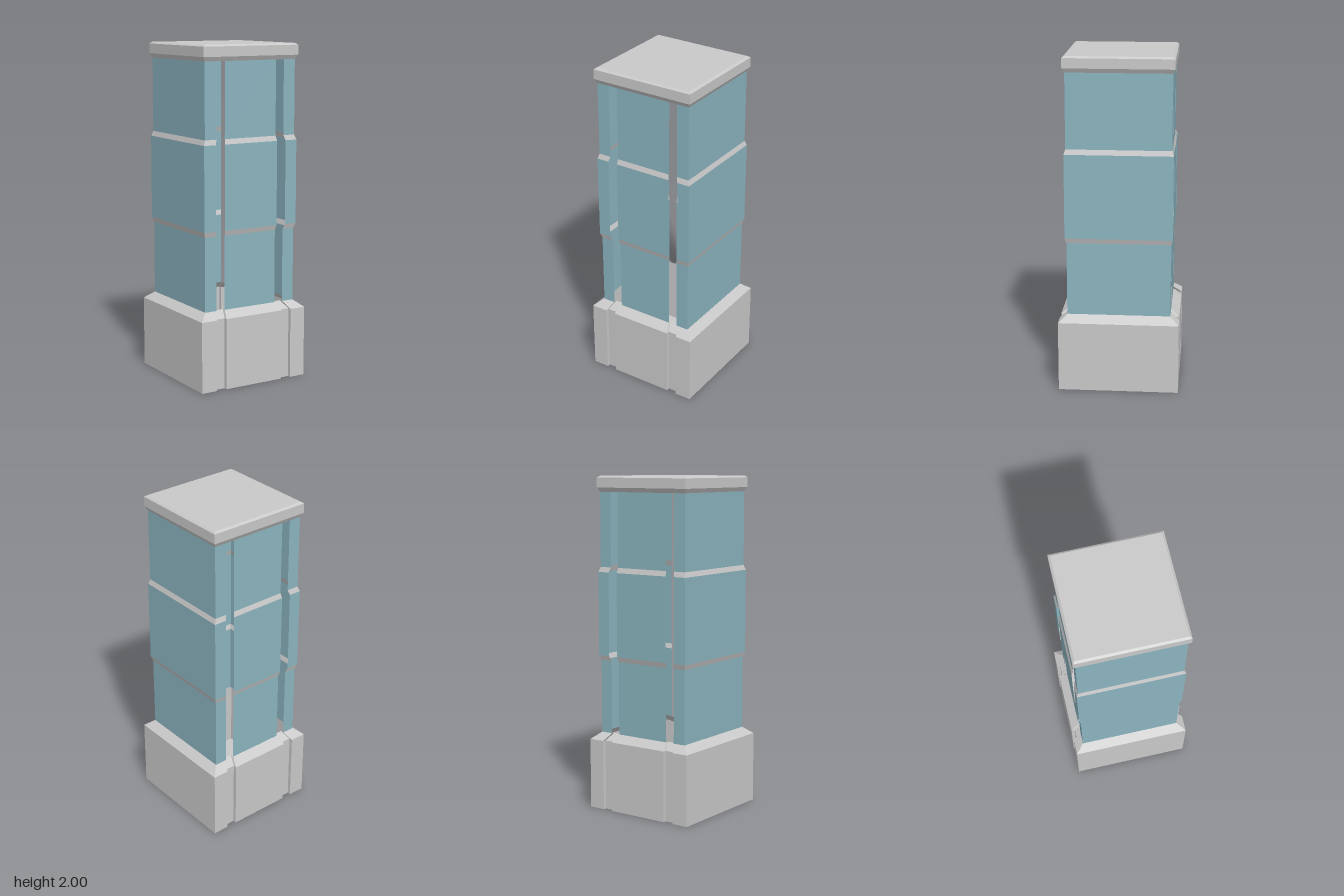
import * as THREE from 'three';

const concrete = new THREE.MeshStandardMaterial({ color: 0xc9c9c9, side: THREE.DoubleSide });
concrete.name = 'grey stone';
const glass = new THREE.MeshStandardMaterial({ color: 0x8bb4bf, side: THREE.DoubleSide });
glass.name = 'blue glass';

// Flat-faced skin between successive levels {y, pts: [[x, z], ...]}
function skin(levels, closed) {
  const pos = [];
  for (let k = 0; k + 1 < levels.length; k++) {
    const lo = levels[k], hi = levels[k + 1], n = lo.pts.length;
    for (let i = 0; i < (closed ? n : n - 1); i++) {
      const j = (i + 1) % n;
      const at = (l, m) => [l.pts[m][0], l.y, l.pts[m][1]];
      const a = at(lo, i), b = at(lo, j), c = at(hi, j), d = at(hi, i);
      pos.push(...a, ...b, ...c, ...a, ...c, ...d);
    }
  }
  const geo = new THREE.BufferGeometry();
  geo.setAttribute('position', new THREE.Float32BufferAttribute(pos, 3));
  geo.computeVertexNormals();
  return geo;
}

// Horizontal lid from an outline, facing up or down
function lid(pts, y, up) {
  const s = up ? -1 : 1;
  const shape = new THREE.Shape(pts.map(([x, z]) => new THREE.Vector2(x, s * z)));
  return new THREE.ShapeGeometry(shape).rotateX(s * Math.PI / 2).translate(0, y, 0);
}

const square = (h) => [[-h, h], [h, h], [h, -h], [-h, -h]];
const turn = (pts) => pts.map(([x, z]) => [-x, -z]);

// Square outline with two shallow grooves front and back
function grooved(h, o, i, r) {
  const front = [[-h, h], [-o, h], [-o, r], [-i, r], [-i, h], [i, h], [i, r], [o, r], [o, h], [h, h]];
  return [...front, ...turn(front)];
}

export function createModel() {
  const model = new THREE.Group();
  const add = (parent, name, geo, mat) => {
    const m = new THREE.Mesh(geo, mat);
    m.name = name;
    parent.add(m);
  };
  const group = (name) => {
    const g = new THREE.Group();
    g.name = name;
    model.add(g);
    return g;
  };

  // Hollow grooved plinth with a sloping shoulder
  const base = group('base');
  const foot = grooved(0.357, 0.257, 0.193, 0.336);
  add(base, 'baseWalls', skin([
    { y: 0, pts: foot }, { y: 0.423, pts: foot },
    { y: 0.465, pts: grooved(0.306, 0.229, 0.174, 0.285) },
  ], true), concrete);
  add(base, 'baseUnderside', lid(foot, 0, false), concrete);

  // Thin shaft panels: two flat centre panels and two side channels, with open slots between
  const narrow = { h: 0.306, o: 0.229, i: 0.174 };
  const wide = { h: 0.316, o: 0.239, i: 0.179 };
  const heights = [0.465, 0.905, 0.935, 1.435, 1.465, 1.91];
  const sizes = [narrow, narrow, wide, wide, narrow, narrow];
  const centre = ({ h, i }) => [[-i, h], [i, h]];
  const channel = ({ h, o }) => [[o, h], [h, h], [h, -h], [o, -h]];
  const panels = {
    frontPanel: centre,
    backPanel: (s) => turn(centre(s)),
    leftPanel: channel,
    rightPanel: (s) => turn(channel(s)),
  };
  for (const [name, outline] of Object.entries(panels)) {
    const panel = group(name);
    for (let k = 0; k < 5; k++) {
      const pair = [k, k + 1].map((n) => ({ y: heights[n], pts: outline(sizes[n]) }));
      const ledge = k % 2 === 1;
      add(panel, ledge ? 'ledge' : 'pane', skin(pair, false), ledge ? concrete : glass);
    }
  }

  // Bevelled cap
  const cap = group('cap');
  add(cap, 'capRim', skin([[1.907, 0.306], [1.932, 0.32], [1.99, 0.32], [2, 0.307]]
    .map(([y, h]) => ({ y, pts: square(h) })), true), concrete);
  add(cap, 'capTop', lid(square(0.307), 2, true), concrete);
  add(cap, 'capUnderside', lid(square(0.306), 1.907, false), concrete);

  return model;
}
